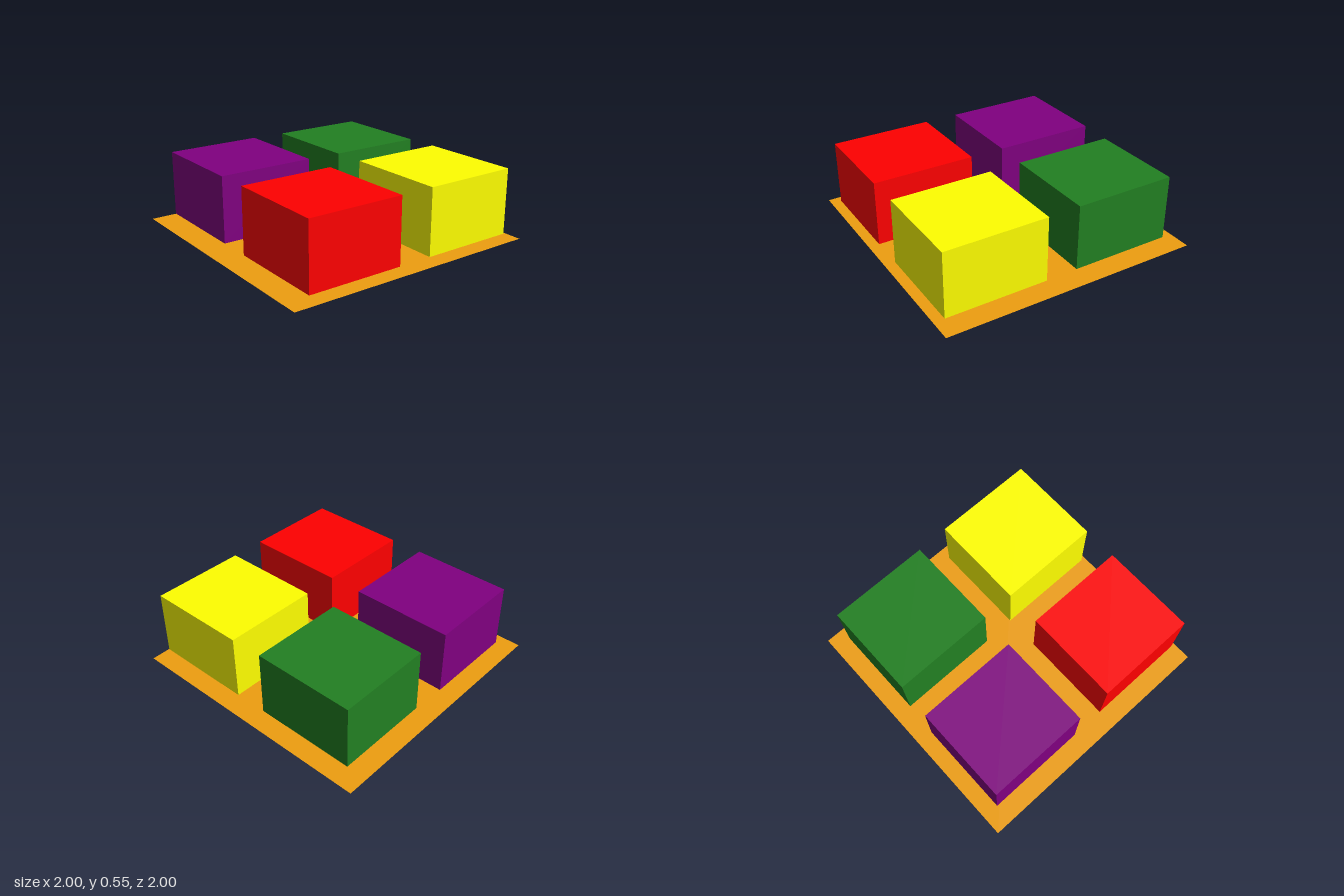
import * as THREE from 'three';

export function createModel() {
  const model = new THREE.Group();
  model.name = 'blocksOnBoard';

  const add = (name, geometry, color, x, y, z, side = THREE.FrontSide) => {
    const mesh = new THREE.Mesh(geometry, new THREE.MeshStandardMaterial({ color, side }));
    mesh.name = name;
    mesh.position.set(x, y, z);
    model.add(mesh);
  };

  // Thin square board, seen from both sides
  const board = new THREE.PlaneGeometry(2, 2).rotateX(-Math.PI / 2);
  add('board', board, 0xee9e10, 0, 0, 0, THREE.DoubleSide);

  // Four equal blocks hovering just above the board
  const block = new THREE.BoxGeometry(0.78, 0.5, 0.735);
  const blocks = [
    ['greenBlock', 0x228022, -0.475, -0.51],
    ['yellowBlock', 0xffff00, 0.555, -0.515],
    ['purpleBlock', 0x800080, -0.487, 0.488],
    ['redBlock', 0xff0000, 0.557, 0.488],
  ];
  for (const [name, color, x, z] of blocks) add(name, block, color, x, 0.3, z);

  return model;
}
